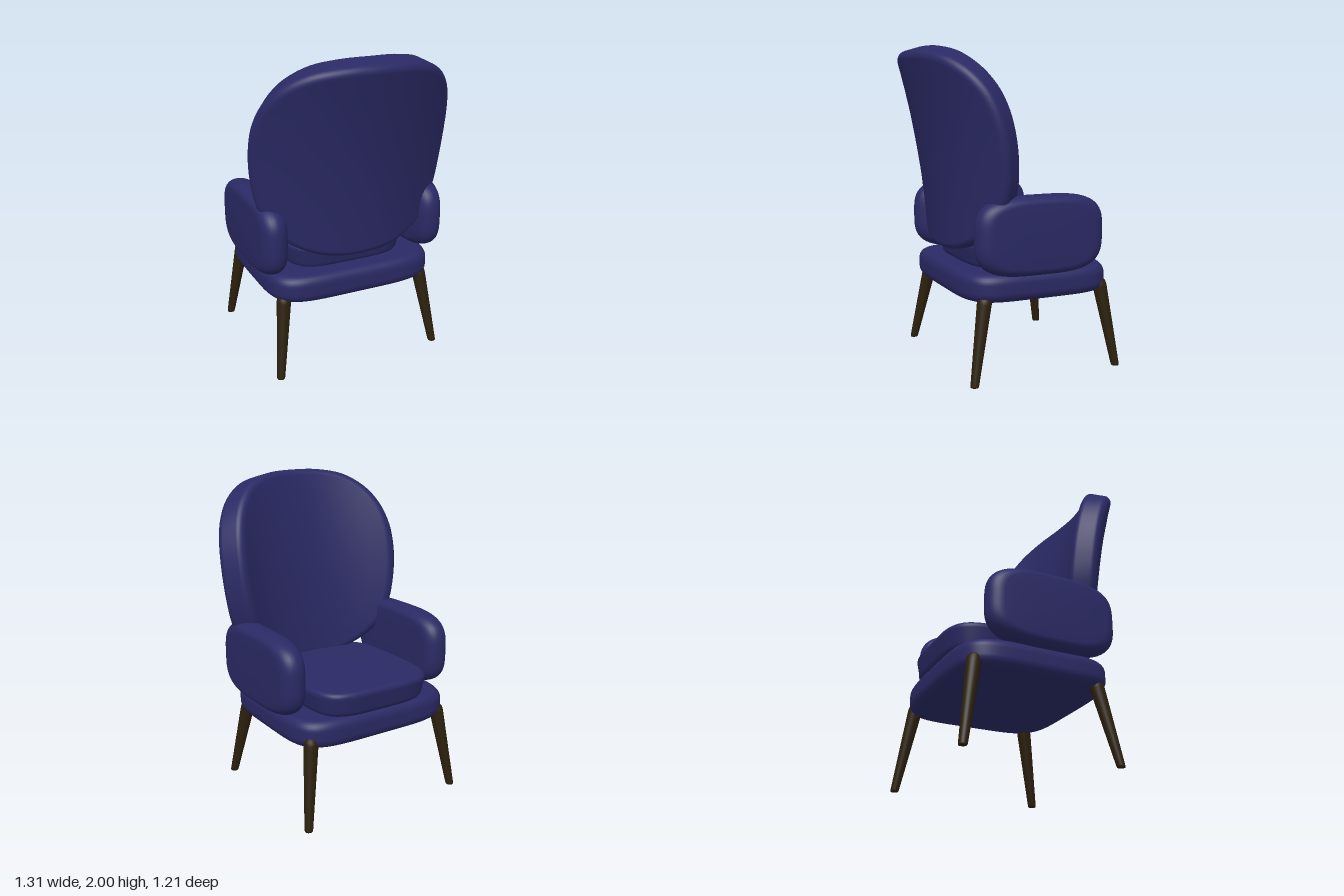
import * as THREE from 'three';

const fabric = new THREE.MeshStandardMaterial({ color: 0x2a2964 });
fabric.name = 'navy fabric';
const wood = new THREE.MeshStandardMaterial({ color: 0x2c200d });
wood.name = 'dark wood';

// Rounded-rectangle outline, counter-clockwise
function superellipse(a, b, n, count = 96) {
  const f = (v) => Math.sign(v) * Math.pow(Math.abs(v), 2 / n);
  return Array.from({ length: count }, (_, i) => {
    const t = (i / count) * Math.PI * 2;
    return [a * f(Math.cos(t)), b * f(Math.sin(t))];
  });
}

// Upholstered pad: rings shrink from the outline toward both faces, with a
// rounded rim; place(a, b, w) puts each point in space (w = through thickness)
function pad(name, outline, half, radius, crown, place) {
  const n = outline.length;
  const size = outline.reduce((s, p) => s + Math.hypot(p[0], p[1]), 0) / n;
  const inner = 1 - radius / size;
  const side = [];
  for (let i = 0; i <= 6; i++) side.push([inner * i / 6, half]);
  for (let i = 1; i <= 7; i++) {
    const t = (i / 7) * Math.PI / 2;
    side.push([inner + (1 - inner) * Math.sin(t), half - radius + radius * Math.cos(t)]);
  }
  const rings = [...side, ...side.map(([s, w]) => [s, -w]).reverse()];
  const pos = [], idx = [];
  rings.forEach(([s, w]) => {
    const bulge = Math.sign(w) * crown * (1 - s * s);
    const list = s === 0 ? [[0, 0]] : outline;
    list.forEach(([a, b]) => pos.push(...place(a * s, b * s, w + bulge)));
  });
  const last = rings.length - 3;
  const end = 1 + (last + 1) * n;
  for (let i = 0; i < n; i++) {
    const j = (i + 1) % n;
    idx.push(0, 1 + i, 1 + j);
    for (let k = 0; k < last; k++) {
      const p = 1 + k * n, q = p + n;
      idx.push(p + i, q + i, q + j, p + i, q + j, p + j);
    }
    idx.push(end, 1 + last * n + j, 1 + last * n + i);
  }
  const geo = new THREE.BufferGeometry();
  geo.setAttribute('position', new THREE.Float32BufferAttribute(pos, 3));
  geo.setIndex(idx);
  geo.computeVertexNormals();
  const mesh = new THREE.Mesh(geo, fabric);
  mesh.name = name;
  return mesh;
}

// Egg-shaped backrest, bent around the sitter and leaning back toward the top
function backrest() {
  const midY = 1.37, R = 0.96;
  const rightSide = [[0, 0.75], [0.14, 0.757], [0.28, 0.79], [0.42, 0.865], [0.52, 0.97],
    [0.58, 1.12], [0.611, 1.3], [0.62, 1.48], [0.608, 1.63], [0.57, 1.755], [0.495, 1.86],
    [0.37, 1.94], [0.2, 1.975], [0, 1.982]];
  const leftSide = rightSide.slice(1, -1).reverse().map(([x, y]) => [-x, y]);
  const curve = new THREE.CatmullRomCurve3(
    [...rightSide, ...leftSide].map(([x, y]) => new THREE.Vector3(x, y - midY, 0)), true);
  const outline = curve.getSpacedPoints(112).slice(0, -1).map((p) => [p.x, p.y]);
  return pad('backrest', outline, 0.09, 0.045, 0, (x, v, w) => {
    const y = v + midY, t = (y - 0.75) / 1.2;
    const depth = Math.sqrt(R * R - x * x);
    const z = 0.316 + 0.07 * t + 0.135 * t * t - (R - depth);
    const normal = new THREE.Vector3(x / depth, -(0.07 + 0.27 * t) / 1.2, 1).normalize();
    return [x + normal.x * w, y + normal.y * w, z + normal.z * w];
  });
}

// Tapered leg with a domed top, sheared so the foot stays flat on the floor;
// foot and top are [x, z]
function leg(name, foot, top, height) {
  const profile = [[0, 0], [0.024, 0], [0.026, 0.01], [0.045, height - 0.05],
    [0.043, height - 0.025], [0.03, height - 0.006], [0, height]]
    .map(([r, y]) => new THREE.Vector2(r, y));
  const geo = new THREE.LatheGeometry(profile, 24);
  const p = geo.attributes.position;
  for (let i = 0; i < p.count; i++) {
    const t = p.getY(i) / height;
    p.setX(i, p.getX(i) + foot[0] + (top[0] - foot[0]) * t);
    p.setZ(i, p.getZ(i) + foot[1] + (top[1] - foot[1]) * t);
  }
  geo.computeVertexNormals();
  const mesh = new THREE.Mesh(geo, wood);
  mesh.name = name;
  return mesh;
}

export function createModel() {
  const chair = new THREE.Group();
  chair.name = 'armchair';

  // Seat base and loose cushion, which flares slightly toward its top
  chair.add(pad('seatBase', superellipse(0.565, 0.495, 5), 0.085, 0.06, 0.01,
    (a, b, w) => [a, 0.568 + w, -0.085 - b]));
  chair.add(pad('seatCushion', superellipse(0.403, 0.437, 4.5), 0.083, 0.04, 0.002, (a, b, w) => {
    const flare = 1 + 0.035 * w / 0.083;
    return [a * flare, 0.725 + w, -0.14 - b * flare];
  }));

  chair.add(backrest());

  // Mirrored armrests and splayed legs
  for (const s of [1, -1]) {
    const label = s > 0 ? 'left' : 'right';
    chair.add(pad(label + 'Armrest', superellipse(0.242, 0.418, 3.4), 0.08, 0.076, 0.01,
      (a, b, w) => [s * 0.535 + w, 0.878 + a, -0.043 + b]));
    chair.add(leg(label + 'BackrestLeg', [s * 0.55, 0.388], [s * 0.475, 0.285], 0.53));
    chair.add(leg(label + 'SeatLeg', [s * 0.55, -0.58], [s * 0.472, -0.49], 0.565));
  }
  return chair;
}
